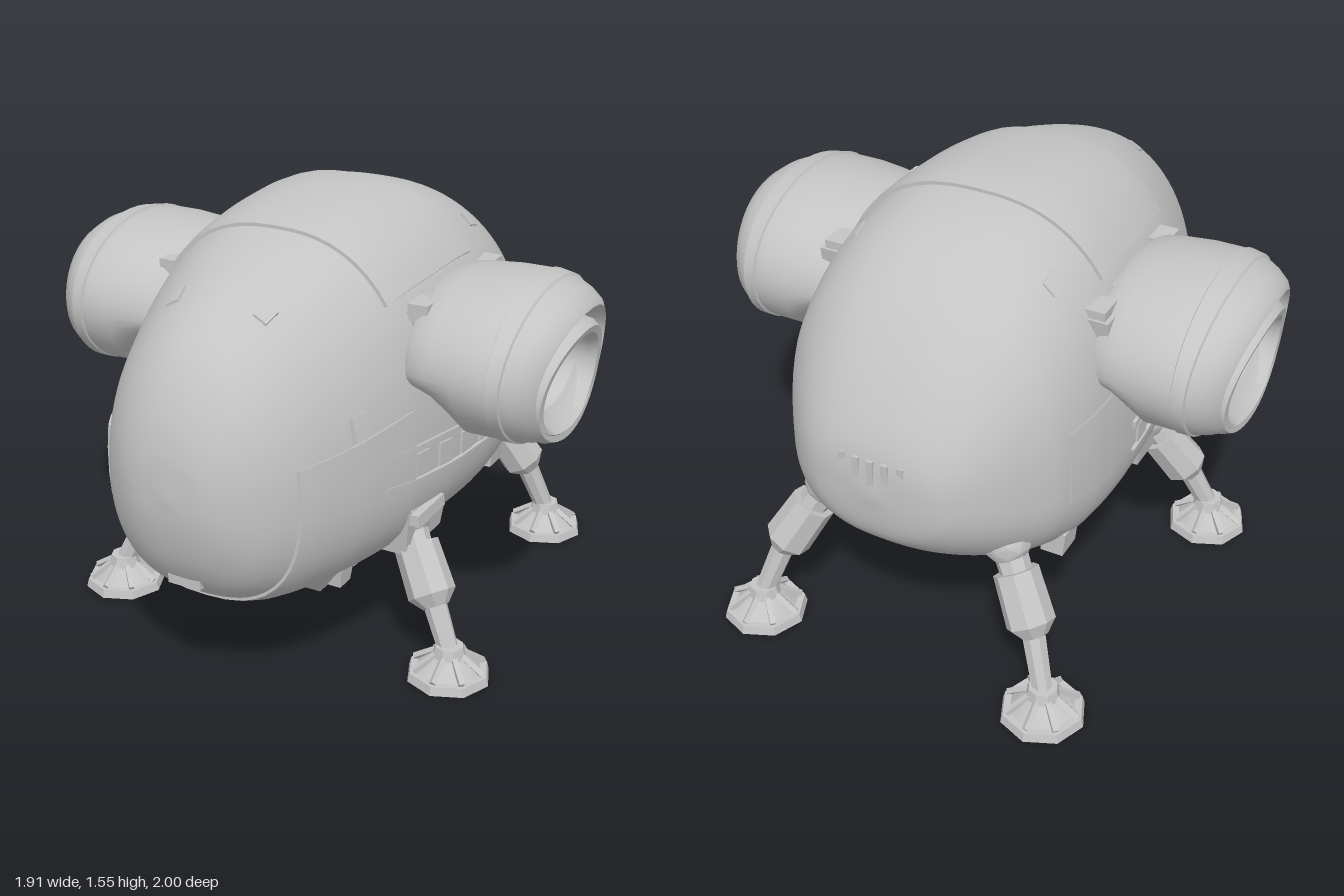
import * as THREE from 'three';
import { mergeVertices, toCreasedNormals } from 'three/addons/utils/BufferGeometryUtils.js';

const V = (x, y, z) => new THREE.Vector3(x, y, z);
const PI = Math.PI;
const { smoothstep } = THREE.MathUtils;

// Hull stations from nose to stern: z, top, bottom, half width, height of widest point
const STATIONS = [
  [1.0, 0.8, 0.8, 0, 0.8], [0.985, 0.95, 0.67, 0.13, 0.8], [0.94, 1.09, 0.53, 0.22, 0.8],
  [0.86, 1.22, 0.42, 0.31, 0.78], [0.74, 1.325, 0.35, 0.385, 0.77], [0.55, 1.415, 0.32, 0.46, 0.75],
  [0.32, 1.485, 0.31, 0.52, 0.73], [0.05, 1.525, 0.3, 0.555, 0.72], [-0.22, 1.53, 0.29, 0.565, 0.72],
  [-0.45, 1.48, 0.31, 0.55, 0.72], [-0.63, 1.385, 0.38, 0.505, 0.74], [-0.78, 1.24, 0.47, 0.41, 0.76],
  [-0.89, 1.085, 0.56, 0.31, 0.79], [-0.95, 0.96, 0.64, 0.21, 0.8], [-0.975, 0.8, 0.8, 0, 0.8],
];
const LAST = STATIONS.length - 1;
const heights = new THREE.CatmullRomCurve3(STATIONS.map(s => V(s[0], s[1], s[2])));
const widths = new THREE.CatmullRomCurve3(STATIONS.map(s => V(s[3], s[4], 0)));

// Point on the hull at station u and angle a (0 = left side, PI/2 = top); sections are squarer aft
function hullPoint(u, a, off = 0) {
  const h = heights.getPoint(u / LAST), w = widths.getPoint(u / LAST);
  const c = Math.cos(a), s = Math.sin(a);
  const e = s < 0 ? 0.82 : 0.96 - 0.16 * smoothstep(u, 4, 6.5);
  const power = v => Math.sign(v) * Math.abs(v) ** e;
  const rise = s > 0 ? h.y - w.y : w.y - h.z;
  return V((w.x + off) * power(c), w.y + (rise + off) * power(s), h.x);
}

// Surface grid from a rule point(i, j)
function grid(ni, nj, point) {
  const pos = [], index = [];
  for (let i = 0; i <= ni; i++) for (let j = 0; j <= nj; j++) pos.push(...point(i, j).toArray());
  for (let i = 0; i < ni; i++) for (let j = 0; j < nj; j++) {
    const a = i * (nj + 1) + j, b = a + nj + 1;
    index.push(a, b, b + 1, a, b + 1, a + 1);
  }
  const g = new THREE.BufferGeometry();
  g.setAttribute('position', new THREE.Float32BufferAttribute(pos, 3));
  g.setIndex(index);
  return g;
}

const crease = g => toCreasedNormals(g, 0.6);

// Raised plate following the hull, its border tucked below the skin; tilt slopes it along u
function plate(u0, u1, a0, a1, off, n = 4, tilt = 0) {
  const ni = n + 2, nj = n + 2;
  const f = (i, m) => Math.min(Math.max((i - 1) / (m - 2), 0), 1);
  return crease(grid(ni, nj, (i, j) => {
    const u = u0 + (u1 - u0) * f(i, ni);
    const edge = i === 0 || j === 0 || i === ni || j === nj;
    return hullPoint(u, a0 + (a1 - a0) * f(j, nj) + tilt * (u - 6.7), edge ? -0.02 : off);
  }));
}

// Box with its lower face scaled by tx, tz and shifted by dz
function block(w, h, d, x, y, z, tx = 1, tz = 1, dz = 0) {
  const g = new THREE.BoxGeometry(w, h, d), p = g.attributes.position;
  for (let i = 0; i < p.count; i++)
    if (p.getY(i) < 0) p.setXYZ(i, p.getX(i) * tx, p.getY(i), p.getZ(i) * tz + dz);
  return crease(g.translate(x, y, z));
}

// Faceted limb between two points
function limb(a, b, ra, rb, sides = 8) {
  const d = b.clone().sub(a);
  const g = new THREE.CylinderGeometry(rb, ra, d.length(), sides);
  g.applyQuaternion(new THREE.Quaternion().setFromUnitVectors(V(0, 1, 0), d.clone().normalize()));
  return crease(g.translate((a.x + b.x) / 2, (a.y + b.y) / 2, (a.z + b.z) / 2));
}

// Oval turned part of the engine, axis along x: mouth leans down and bows, inner underside is cut up
function turned(points, cy) {
  const g = new THREE.LatheGeometry(points.map(p => new THREE.Vector2(p[0], p[1])), 48);
  g.rotateZ(-PI / 2).scale(1, 0.68, 1);
  const p = g.attributes.position;
  for (let i = 0; i < p.count; i++) {
    const x = p.getX(i), y = p.getY(i), z = p.getZ(i);
    const k = Math.max(x - 0.8, 0), lean = Math.min(k, 0.1);
    const cut = y < 0 ? 0.45 + 0.55 * smoothstep(x, 0.53, 0.64) : 1;
    p.setXYZ(i, x + y * lean * 0.9 - z * z * lean * 3, y * cut - k * 0.2, z);
  }
  return crease(g.translate(0, cy, -0.04));
}

function mirrored(geo) {
  const g = geo.clone().scale(-1, 1, 1);
  const n = g.attributes.position.count;
  const idx = g.index ? Array.from(g.index.array) : Array.from({ length: n }, (_, i) => i);
  for (let i = 0; i < idx.length; i += 3) [idx[i + 1], idx[i + 2]] = [idx[i + 2], idx[i + 1]];
  g.setIndex(idx);
  return g;
}

export function createModel() {
  const model = new THREE.Group();
  model.name = 'landerPod';
  const hullGrey = new THREE.MeshStandardMaterial({ color: 0xc4c4c4 });
  hullGrey.name = 'hullGrey';
  const add = (name, geo) => {
    const m = new THREE.Mesh(geo, hullGrey);
    m.name = name;
    model.add(m);
  };
  const pair = (name, geo) => { add(name + 'Left', geo); add(name + 'Right', mirrored(geo)); };

  // Hull
  const skin = mergeVertices(grid(84, 96, (i, j) => hullPoint(i / 84 * LAST, (j % 96) / 96 * 2 * PI)), 1e-5);
  skin.computeVertexNormals();
  add('hull', skin);
  add('spinePlate', plate(6, 8.1, 0.75, PI - 0.75, 0.012, 16));
  add('chinCollar', plate(3.6, 6, PI - 0.22, 2 * PI + 0.22, 0.01, 24));
  add('noseVent', block(0.12, 0.05, 0.06, 0, 0.48, 0.885));
  pair('windowFrame', plate(4.8, 5.1, 0.23, 0.36, 0.014));
  pair('roofHatch', plate(4.3, 4.6, 1.13, 1.25, 0.008));
  pair('rearRoofHatch', plate(8.7, 9, 0.9, 1.0, 0.006));
  pair('sidePanel', plate(8.6, 9.8, -0.08, 0.25, 0.005, 8));

  // Side equipment slot
  pair('slotUpperRail', plate(5.4, 8, 0.045, 0.065, 0.012, 8, -0.017));
  pair('slotLowerRail', plate(5.4, 8, -0.06, -0.042, 0.012, 8, -0.017));
  for (let i = 0; i < 5; i++)
    pair('slotBlock' + i, plate(5.5 + i * 0.52, 5.78 + i * 0.52, -0.034, 0.036, 0.008, 4, -0.017));

  // Stern vent slats
  for (let i = -4; i <= 4; i++) {
    const x = i * 0.052;
    add('sternSlat', block(0.024, 0.12, 0.05, x, 0.87, -0.945 + x * x * 0.95));
  }

  // Keel and underside machinery
  add('keel', block(0.66, 0.2, 1.06, 0, 0.3, 0.02, 0.55, 0.52, 0.05));
  for (let i = 0; i < 4; i++)
    pair('keelBlock', block(0.09, 0.07, 0.09, 0.22 - (i % 2) * 0.03, 0.265, 0.3 - i * 0.16, 0.8, 0.8));
  for (let i = -1; i <= 1; i++) add('chinFin', block(0.03, 0.1, 0.14, i * 0.06, 0.29, 0.4, 1, 0.6, -0.03));
  add('bellyPod', block(0.4, 0.1, 0.3, 0, 0.31, -0.4, 0.7, 0.6, 0.05));

  // Engines on short pylons
  pair('engineShell', turned([[0.25, 0.47], [0.36, 0.475], [0.378, 0.5], [0.39, 0.56], [0.402, 0.66],
    [0.402, 0.75], [0.392, 0.83], [0.368, 0.885], [0.335, 0.925], [0.305, 0.938], [0.29, 0.91], [0.23, 0.86]], 1.075));
  pair('engineBand', turned([[0.395, 0.77], [0.407, 0.775], [0.4, 0.83], [0.38, 0.84]], 1.075));
  pair('intakeRing', turned([[0.3, 0.83], [0.295, 0.91], [0.275, 0.935], [0.24, 0.93], [0.22, 0.9],
    [0.2, 0.82], [0.185, 0.77], [0.13, 0.76], [0.05, 0.77], [0, 0.77]], 1.025));
  pair('pylon', block(0.14, 0.32, 0.62, 0.46, 1.09, -0.07, 1, 0.85));
  for (let i = 0; i < 4; i++)
    pair('pylonClamp', block(0.07, 0.06, 0.1, 0.48, 1.25, -0.32 + i * 0.17));
  pair('pylonStrut', limb(V(0.52, 0.82, -0.04), V(0.64, 0.95, -0.04), 0.05, 0.08, 6));

  // Legs: hip, knee, ankle points and foot
  const legs = [
    ['front', V(0.44, 0.5, 0.2), V(0.59, 0.26, 0.29), V(0.67, 0.09, 0.325)],
    ['rear', V(0.34, 0.55, -0.7), V(0.48, 0.3, -0.79), V(0.55, 0.09, -0.85)],
  ];
  for (const [name, hip, knee, ankle] of legs) {
    const at = t => hip.clone().lerp(knee, t);
    pair(name + 'HipJoint', crease(new THREE.IcosahedronGeometry(0.085, 1).translate(hip.x, hip.y, hip.z)));
    pair(name + 'UpperLeg', limb(hip, knee, 0.058, 0.05));
    pair(name + 'LegSleeve', limb(at(0.35), at(0.95), 0.078, 0.084));
    pair(name + 'SleeveCuff', limb(at(0.95), at(1.1), 0.084, 0.045));
    pair(name + 'LowerLeg', limb(knee, ankle, 0.042, 0.036));
    pair(name + 'AnkleCollar', limb(ankle.clone().add(V(0, -0.01, 0)), ankle.clone().add(V(0, 0.03, 0)), 0.06, 0.05));
    const sole = V(ankle.x, 0, ankle.z);
    pair(name + 'FootPad', limb(sole, sole.clone().add(V(0, 0.03, 0)), 0.148, 0.14));
    pair(name + 'FootCone', limb(sole.clone().add(V(0, 0.03, 0)), ankle, 0.115, 0.05));
    for (let i = 0; i < 8; i++) {
      const d = V(Math.sin(i * PI / 4), 0, Math.cos(i * PI / 4));
      pair(name + 'FootRib', limb(sole.clone().addScaledVector(d, 0.128).setY(0.036),
        ankle.clone().addScaledVector(d, 0.045), 0.013, 0.013, 4));
    }
  }

  // Hip housings
  pair('frontHipHousing', block(0.16, 0.17, 0.32, 0.43, 0.49, 0.17, 0.75, 0.85));
  pair('hipBracket', block(0.1, 0.04, 0.2, 0.49, 0.55, 0.22, 1.1));
  pair('rearHipHousing', block(0.18, 0.14, 0.16, 0.29, 0.56, -0.67, 0.8, 0.8));
  pair('sideVent', block(0.1, 0.09, 0.1, 0.43, 0.46, -0.5, 0.8));

  return model;
}
